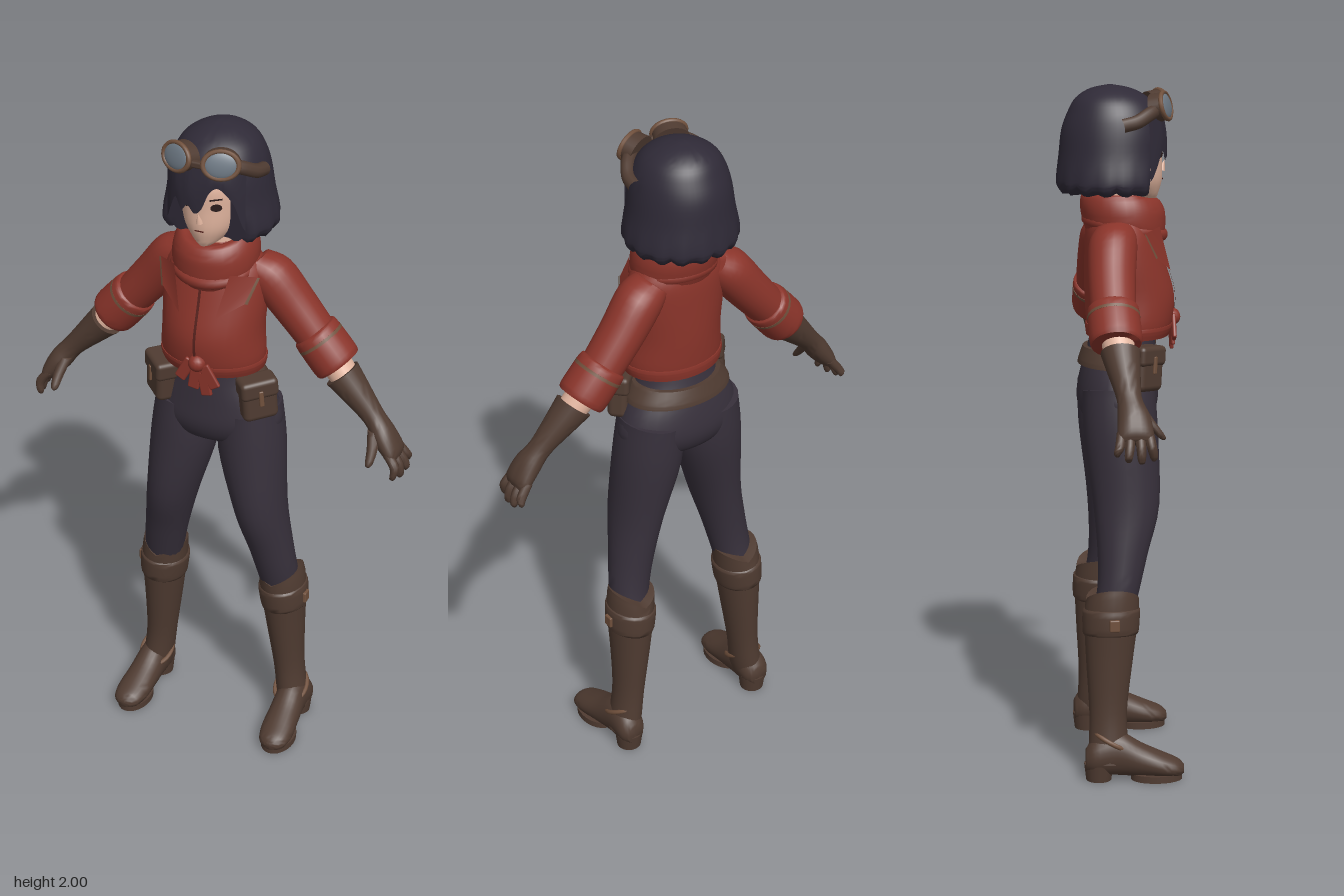
import * as THREE from 'three';
import { mergeVertices, toCreasedNormals } from 'three/addons/utils/BufferGeometryUtils.js';
import { RoundedBoxGeometry } from 'three/addons/geometries/RoundedBoxGeometry.js';

const mat = (name, color, side = THREE.FrontSide) => {
  const m = new THREE.MeshStandardMaterial({ color, side });
  m.name = name;
  return m;
};

// Surface from a grid of points f(i, j)
function grid(nu, nv, f, crease = 1) {
  const pos = [], idx = [];
  for (let i = 0; i <= nu; i++) for (let j = 0; j <= nv; j++) pos.push(...f(i, j));
  for (let i = 0; i < nu; i++) for (let j = 0; j < nv; j++) {
    const a = i * (nv + 1) + j, c = a + nv + 1;
    idx.push(a, c, a + 1, a + 1, c, c + 1);
  }
  const g = new THREE.BufferGeometry();
  g.setAttribute('position', new THREE.Float32BufferAttribute(pos, 3));
  g.setIndex(idx);
  return toCreasedNormals(mergeVertices(g, 1e-5), crease);
}

// Smooth value through rows of numbers
function sample(rows, t) {
  const n = rows.length - 1, i = Math.min(Math.floor(t), n - 1), f = t - i;
  const at = k => rows[Math.max(0, Math.min(n, k))];
  return rows[0].map((_, c) => {
    const [a, b, d, e] = [at(i - 1)[c], at(i)[c], at(i + 1)[c], at(i + 2)[c]];
    return b + 0.5 * f * (d - a + f * (2 * a - 5 * b + 4 * d - e + f * (3 * (b - d) + e - a)));
  });
}

// Capped loft of ellipses; each section is [x, y, z, half width, half depth]
function loft(sections, { sub = 4, seg = 24, tweak, crease = 1 } = {}) {
  const first = sections[0], last = sections[sections.length - 1];
  const dx = last[0] - first[0], dy = last[1] - first[1], len = Math.hypot(dx, dy);
  const ux = dy / len, uy = -dx / len, rings = (sections.length - 1) * sub;
  return grid(rings + 2, seg, (i, j) => {
    const k = Math.max(0, Math.min(rings, i - 1));
    const [x, y, z, ru, rv] = sample(sections, k / sub);
    const open = i === 0 || i === rings + 2 ? 0 : 1, a = (j % seg) / seg * Math.PI * 2;
    const c = Math.cos(a) * ru * open, s = Math.sin(a) * rv * open;
    const p = [x + ux * c, y + uy * c, z + s];
    return tweak ? tweak(p, a, open) : p;
  }, crease);
}

export function createModel() {
  const D = THREE.DoubleSide;
  const M = {
    hair: mat('dark hair', 0x2f2a37, D), skin: mat('skin', 0xe2b59f),
    red: mat('red jacket', 0x8a342a, D), seam: mat('dark red seam', 0x56211c, D),
    pants: mat('dark trousers', 0x37303b), leather: mat('brown leather', 0x4f3b31),
    trim: mat('light leather', 0x70503c, D), lens: mat('goggle glass', 0x6d7883),
    eye: mat('eye dark', 0x2a1c1c, D)
  };
  const model = new THREE.Group();
  const add = (name, geo, material, parent = model) => {
    const m = new THREE.Mesh(geo, material);
    m.name = name;
    parent.add(m);
    return m;
  };
  const mirrored = (s, rows) => rows.map(([x, ...r]) => [x * s, ...r]);
  const upright = rows => rows.map(r => [0, ...r]);

  // Jacket body and cowl collar
  add('jacketBody', loft(upright([[1.28, .03, .148, .115], [1.32, .035, .155, .125], [1.4, .035, .15, .13],
    [1.5, .02, .155, .115], [1.58, .008, .148, .1], [1.63, .005, .11, .085], [1.66, .005, .08, .07]]), { seg: 32 }), M.red);
  add('jacketHem', loft(upright([[1.278, .03, .152, .12], [1.3, .033, .158, .126], [1.312, .034, .157, .126]]), { seg: 32 }), M.red);
  add('collar', loft(upright([[1.56, .025, .1, .1], [1.59, .022, .122, .115], [1.63, .018, .125, .122], [1.665, .015, .117, .122],
    [1.69, .01, .1, .108], [1.68, .01, .075, .08], [1.64, .01, .06, .06]]), { seg: 32, tweak: ([x, y, z]) => [x, y - .25 * Math.max(0, z - .04), z] }), M.red);
  const fold = add('collarFold', new THREE.TorusGeometry(.108, .02, 10, 36), M.red);
  fold.rotation.x = Math.PI / 2 + .22;
  fold.position.set(0, 1.592, .022);
  const front = [[1.285, .152], [1.32, .163], [1.4, .169], [1.5, .14], [1.56, .124]];
  add('jacketSeam', grid(16, 1, (i, j) => {
    const [y, z] = sample(front, i / 4);
    return [(j - .5) * .008, y, z];
  }), M.seam);

  // Knotted ties at the front waist
  const knot = add('tieKnot', new THREE.SphereGeometry(.026, 14, 10), M.red);
  knot.position.set(.005, 1.325, .16);
  [[-.03, 1.3, .5], [.045, 1.29, -.55], [.03, 1.265, -.2], [0, 1.28, .15]].forEach(([x, y, r]) => {
    const tie = add('tieEnd', new RoundedBoxGeometry(.034, .075, .012, 2, .005), M.red);
    tie.position.set(x, y, .163);
    tie.rotation.z = r * -1;
  });

  // Hips and belt
  add('hips', loft(upright([[1.31, .02, .11, .09], [1.24, .012, .128, .1], [1.16, .003, .178, .113],
    [1.09, 0, .198, .118], [1.04, 0, .165, .1], [1.02, 0, .1, .07]]), { seg: 32 }), M.pants);
  add('belt', loft(upright([[1.195, .003, .168, .118], [1.21, .005, .162, .117], [1.245, .01, .138, .11]]),
    { seg: 36, tweak: ([x, y, z]) => z > .085 ? [x, y, z - .02] : [x, y, z] }), M.leather);

  for (const s of [1, -1]) {
    const side = new THREE.Group();
    side.name = s > 0 ? 'leftSide' : 'rightSide';
    model.add(side);
    const part = (name, rows, m, o) => add(name, loft(mirrored(s, rows), o), m, side);

    // Sleeve, rolled cuff, forearm
    part('sleeve', [[.1, 1.585, -.015, .05, .06], [.15, 1.55, -.025, .067, .07], [.22, 1.465, -.033, .064, .067],
      [.3, 1.37, -.035, .058, .063]], M.red);
    part('cuff', [[.278, 1.395, -.035, .06, .066], [.288, 1.385, -.035, .069, .073], [.345, 1.32, -.033, .071, .074],
      [.358, 1.306, -.033, .066, .069]], M.red);
    part('cuffTrim', [[.296, 1.376, -.035, .0705, .0745], [.302, 1.369, -.035, .0705, .0745]], M.trim, { sub: 1 });
    part('forearm', [[.33, 1.335, -.032, .045, .048], [.4, 1.255, -.02, .04, .042]], M.skin);

    // Glove and fingers
    part('glove', [[.373, 1.285, -.022, .053, .056], [.41, 1.248, -.018, .045, .048], [.478, 1.178, -.008, .032, .035],
      [.515, 1.132, .002, .034, .045], [.548, 1.088, .004, .026, .05], [.558, 1.07, .004, .014, .045]], M.leather);
    [[-.034, -.048, .575, 1.045], [-.01, -.018, .58, 1.03], [.016, .018, .576, 1.024], [.04, .052, .566, 1.03]].forEach(([z0, z1, x, y]) =>
      part('finger', [[.54, 1.095, z0, .014, .014], [.567, 1.06, (z0 + z1) / 2, .014, .014],
        [x, y, z1, .011, .011], [x, y - .01, z1, .004, .004]], M.leather, { seg: 10, sub: 3 }));
    part('thumb', [[.49, 1.15, .02, .018, .018], [.5, 1.11, .05, .017, .016], [.502, 1.075, .078, .012, .012],
      [.502, 1.065, .084, .004, .004]], M.leather, { seg: 10, sub: 3 });

    // Trouser leg
    part('trouserLeg', [[.1, 1.13, -.003, .09, .105], [.108, 1.0, .002, .1, .108], [.142, .8, .015, .077, .096],
      [.17, .66, .002, .066, .073], [.188, .56, -.012, .061, .062], [.198, .48, -.03, .055, .06]], M.pants);

    // Boot shaft with a notched top, knee band and ankle strap
    part('bootShaft', [[.192, .545, -.03, .066, .077], [.2, .48, -.034, .068, .079], [.207, .35, -.04, .057, .068],
      [.218, .2, -.045, .046, .055], [.23, .1, -.045, .046, .058], [.24, .05, -.047, .044, .06]], M.leather,
    { tweak: ([x, y, z], a, open) => [x, y > .52 ? y + open * (.035 * Math.abs(Math.cos(a)) - .015) : y, z] });
    part('bootBand', [[.196, .505, -.034, .07, .081], [.198, .495, -.034, .074, .084], [.203, .44, -.036, .071, .082],
      [.204, .43, -.036, .066, .077]], M.leather);
    const buckle = add('bootBuckle', new RoundedBoxGeometry(.012, .035, .03, 2, .004), M.trim, side);
    buckle.position.set(s * .274, .472, -.03);
    const strap = add('ankleStrap', new THREE.TorusGeometry(.053, .007, 8, 28), M.trim, side);
    strap.position.set(s * .231, .115, -.032);
    strap.scale.set(.92, 1.15, 1);
    strap.rotation.x = Math.PI / 2 + .5;

    // Foot, sole and heel
    const foot = loft(mirrored(s, [[.238, -.112, -.06, .028, .032], [.238, -.085, -.07, .045, .055], [.238, -.02, -.078, .046, .068],
      [.242, .05, -.058, .049, .05], [.246, .11, -.043, .051, .037], [.249, .155, -.034, .041, .026], [.25, .174, -.03, .018, .013]]),
    { tweak: ([x, y, z]) => [x, y, Math.min(z, -.016)] }).rotateX(Math.PI / 2);
    add('foot', foot, M.leather, side);
    const sole = add('sole', new THREE.CylinderGeometry(1, 1, .02, 24), M.leather, side);
    sole.scale.set(.05, 1, .075);
    sole.position.set(s * .246, .01, .095);
    const heel = add('heel', new THREE.CylinderGeometry(.043, .037, .05, 20), M.leather, side);
    heel.position.set(s * .238, .025, -.074);

    // Belt pouch with flap and stud
    const pouch = new THREE.Group();
    pouch.name = 'pouch';
    pouch.position.set(s * .153, 1.198, .068);
    pouch.rotation.set(0, s * .75, s * .08);
    side.add(pouch);
    add('pouchBody', new RoundedBoxGeometry(.105, .125, .06, 3, .018), M.leather, pouch);
    add('pouchFlap', new RoundedBoxGeometry(.112, .058, .07, 3, .014), M.leather, pouch).position.y = .04;
    add('pouchStrap', new RoundedBoxGeometry(.014, .05, .008, 1, .003), M.trim, pouch).position.set(0, .015, .035);

    // Lapel with a trimmed edge
    const lapel = (name, pts, m) => add(name, grid(1, 1, (i, j) => {
      const p = pts[i * 2 + j];
      return [p[0] * s, p[1], p[2]];
    }), m, side);
    lapel('lapel', [[.085, 1.6, .115], [.15, 1.585, .065], [.055, 1.47, .15], [.128, 1.515, .102]], M.red);
    lapel('lapelTrim', [[.148, 1.585, .07], [.155, 1.585, .066], [.126, 1.515, .106], [.133, 1.512, .101]], M.trim);

    // Eye and brow
    const eye = add('eye', new THREE.CircleGeometry(.015, 16), M.eye, side);
    eye.scale.set(1.1, .75, 1);
    eye.position.set(s * .047, 1.803, .121);
    eye.rotation.y = s * .5;
    const brow = add('brow', new THREE.PlaneGeometry(.036, .005), M.eye, side);
    brow.position.set(s * .047, 1.828, .123);
    brow.rotation.set(0, s * .5, s * .1);

    // Goggle cup, glass and strap
    const cup = new THREE.Group();
    cup.name = 'goggleCup';
    cup.position.set(s * .06, 1.937, .117);
    cup.lookAt(s * .36, 2.13, .9);
    side.add(cup);
    const shell = add('goggleShell', new THREE.CylinderGeometry(.045, .048, .04, 24), M.leather, cup);
    shell.rotation.x = Math.PI / 2;
    shell.scale.set(1.1, 1, .88);
    const rim = add('goggleRim', new THREE.TorusGeometry(.044, .007, 8, 28), M.trim, cup);
    rim.scale.set(1.1, .88, 1);
    rim.position.z = .018;
    const glass = add('goggleGlass', new THREE.SphereGeometry(.042, 20, 12), M.lens, cup);
    glass.scale.set(1.1, .88, .25);
    glass.position.z = .018;
    const path = new THREE.CatmullRomCurve3([[.075, 1.935, .112], [.108, 1.92, .082], [.131, 1.9, .045], [.137, 1.89, .005]]
      .map(([x, y, z]) => new THREE.Vector3(x * s, y, z)));
    add('goggleStrap', new THREE.TubeGeometry(path, 16, .02, 10), M.leather, side);
  }
  add('goggleBridge', new RoundedBoxGeometry(.04, .02, .02, 2, .006), M.leather).position.set(0, 1.932, .137);

  // Neck, head and face
  add('neck', new THREE.CylinderGeometry(.05, .055, .14, 20), M.skin).position.set(0, 1.67, .005);
  add('head', loft(upright([[1.672, .085, .02, .028], [1.69, .065, .045, .055], [1.73, .042, .076, .088],
    [1.79, .03, .092, .1], [1.86, .028, .094, .1], [1.93, .02, .07, .07]]), { seg: 28 }), M.skin);
  const nose = add('nose', new THREE.ConeGeometry(.011, .032, 8), M.skin);
  nose.position.set(0, 1.768, .133);
  nose.rotation.x = .3;
  add('mouth', new THREE.PlaneGeometry(.028, .004), M.seam).position.set(0, 1.727, .132);

  // Bobbed hair, set back around the face, with a scalloped hem
  const hairFront = y => y > 1.9 ? 1 : y > 1.84 ? .092 + (y - 1.84) * .9 : .08 + (y - 1.7) * .085;
  add('hair', loft(upright([[1.998, -.02, .008, .008], [1.987, -.018, .055, .06], [1.96, -.014, .1, .105], [1.92, -.01, .126, .132],
    [1.87, -.01, .14, .15], [1.8, -.013, .151, .155], [1.74, -.014, .163, .16], [1.71, -.015, .163, .158], [1.69, -.015, .15, .145]]),
  { seg: 56, tweak: ([x, y, z], a) => {
    const low = THREE.MathUtils.clamp((1.8 - y) / .1, 0, 1), w = Math.abs(Math.sin(a * 8));
    const k = 1 + .035 * low * (w - .5);
    return [x * k, y + (y < 1.72 ? .012 * (1 - w) : 0), Math.min(z * k, hairFront(y))];
  } }), M.hair);

  // Swept fringe
  const hem = [1.73, 1.775, 1.815, 1.785, 1.805, 1.785, 1.8, 1.85, 1.868, 1.85, 1.81, 1.73].map(y => [y]);
  add('fringe', grid(6, 44, (i, j) => {
    const x = -.118 + j / 44 * .236, low = sample(hem, j / 44 * 11)[0], v = i / 6;
    return [x, 1.925 + (low - 1.925) * v, .018 + (.112 + .014 * Math.sin(v * 2)) * Math.sqrt(1 - (x / .14) ** 2)];
  }), M.hair);

  return model;
}
